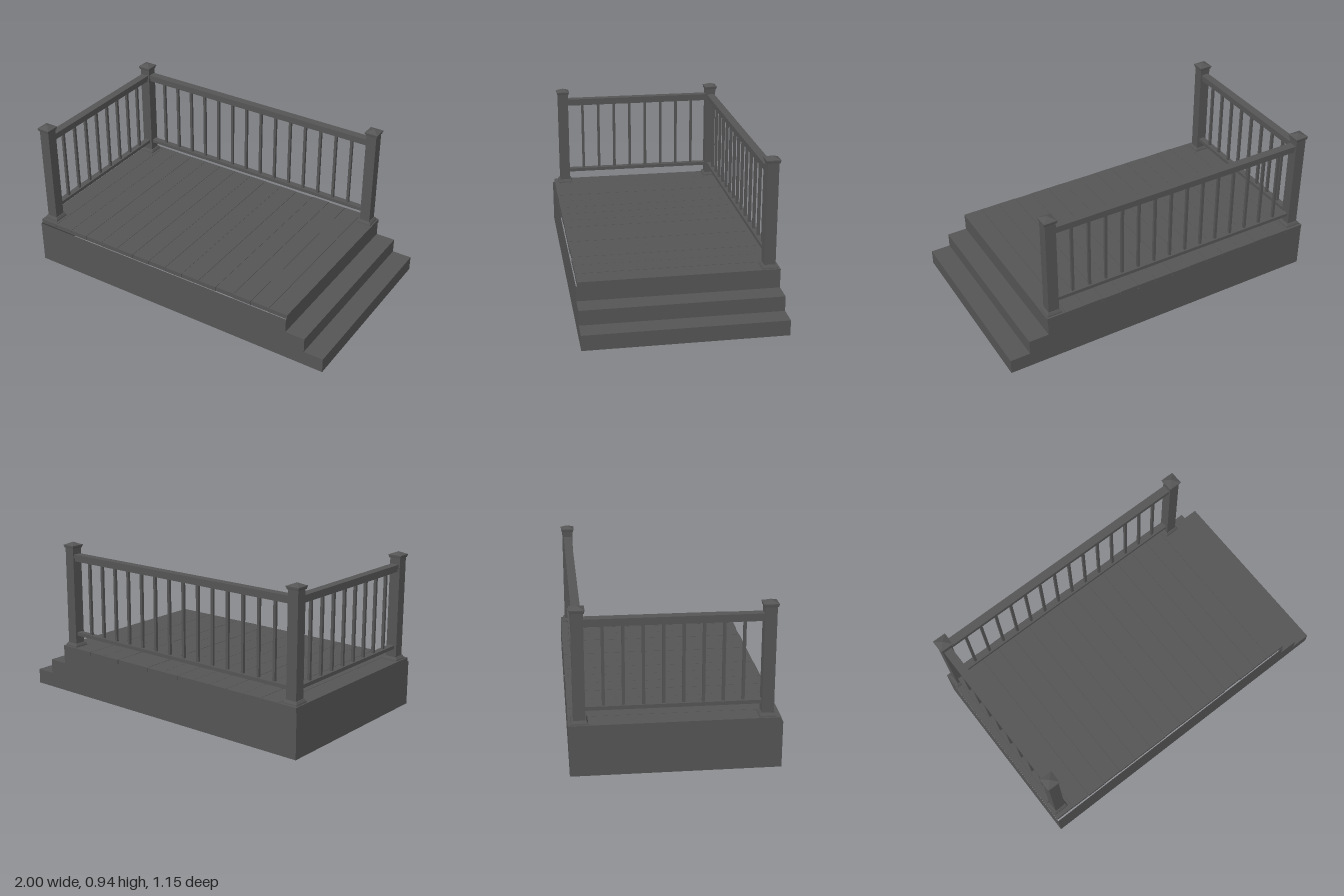
import * as THREE from 'three';

export function createModel() {
  const deck = new THREE.Group();
  deck.name = 'deck';
  const grey = new THREE.MeshStandardMaterial({ color: 0x555555, side: THREE.DoubleSide });
  grey.name = 'dark grey';

  const add = (parent, name, geometry, x = 0, y = 0, z = 0) => {
    const mesh = new THREE.Mesh(geometry, grey);
    mesh.name = name;
    mesh.position.set(x, y, z);
    parent.add(mesh);
    return mesh;
  };
  // Box given by its limits on each axis
  const slab = (parent, name, [x0, x1], [y0, y1], [z0, z1]) =>
    add(parent, name, new THREE.BoxGeometry(x1 - x0, y1 - y0, z1 - z0),
      (x0 + x1) / 2, (y0 + y1) / 2, (z0 + z1) / 2);
  // Square frustum between two heights
  const frustum = (parent, name, w0, w1, y0, y1) => {
    const g = new THREE.CylinderGeometry(w1 / Math.SQRT2, w0 / Math.SQRT2, y1 - y0, 4, 1).toNonIndexed();
    g.rotateY(Math.PI / 4);
    g.computeVertexNormals();
    return add(parent, name, g, 0, (y0 + y1) / 2, 0);
  };

  // Hollow skirt and steps, open underneath
  const zs = 0.572;
  const profile = [[-1, 0], [1, 0], [1, 0.09], [0.88, 0.09], [0.88, 0.178],
    [0.76, 0.178], [0.76, 0.266], [-1, 0.266]];
  const side = new THREE.Shape(profile.map(p => new THREE.Vector2(...p)));
  add(deck, 'frontSkirt', new THREE.ShapeGeometry(side), 0, 0, zs);
  add(deck, 'backSkirt', new THREE.ShapeGeometry(side).rotateY(Math.PI).scale(-1, 1, 1), 0, 0, -zs);
  const panel = (name, [x0, y0], [x1, y1]) => {
    const dx = x1 - x0, dy = y1 - y0;
    const g = new THREE.PlaneGeometry(Math.hypot(dx, dy), 2 * zs).rotateX(-Math.PI / 2);
    g.rotateZ(Math.atan2(dy, dx));
    add(deck, name, g, (x0 + x1) / 2, (y0 + y1) / 2, 0);
  };
  panel('leftEndSkirt', [-1, 0], [-1, 0.266]);
  for (let i = 5; i > 0; i--) {
    panel(i % 2 ? 'stepRiser' : 'stepTread', profile[i + 1], profile[i]);
  }

  // Deck boards, cut to slightly uneven lengths
  let seed = 7;
  const rand = () => (seed = (seed * 16807) % 2147483647) / 2147483647 - 0.5;
  const boards = new THREE.Group();
  boards.name = 'deckBoards';
  deck.add(boards);
  const pitch = 1.765 / 15;
  for (let i = 0; i < 15; i++) {
    const x = -1 + i * pitch, dz = rand() * 0.004;
    slab(boards, 'deckBoard', [x + 0.001, x + pitch - 0.001],
      [0.265, 0.293 - Math.abs(rand()) * 0.002], [-0.573 + dz, 0.564 + dz]);
  }

  // Posts with flared feet and pyramid caps
  const xl = -0.945, xr = 0.709, zb = -0.514, zf = 0.491;
  for (const [x, z] of [[xl, zf], [xl, zb], [xr, zb]]) {
    const post = new THREE.Group();
    post.name = 'post';
    post.position.set(x, 0, z);
    deck.add(post);
    frustum(post, 'postShaft', 0.065, 0.065, 0.292, 0.91);
    frustum(post, 'postFoot', 0.093, 0.09, 0.292, 0.3);
    frustum(post, 'postFootBevel', 0.09, 0.074, 0.3, 0.313);
    frustum(post, 'capCollar', 0.074, 0.078, 0.906, 0.918);
    frustum(post, 'capRim', 0.082, 0.082, 0.918, 0.924);
    frustum(post, 'capPyramid', 0.076, 0.002, 0.924, 0.941);
  }

  // Railing built along local x from the origin
  const railing = (name, length, count, first) => {
    const rail = new THREE.Group();
    rail.name = name;
    const span = [0.03, length - 0.03];
    slab(rail, 'handrail', span, [0.846, 0.87], [-0.025, 0.025]);
    slab(rail, 'underRail', span, [0.827, 0.846], [-0.019, 0.019]);
    slab(rail, 'bottomRail', span, [0.362, 0.383], [-0.019, 0.019]);
    for (let i = 0; i < count; i++) {
      const x = first + i * 0.1063;
      slab(rail, 'baluster', [x - 0.008, x + 0.008], [0.38, 0.83], [-0.008, 0.008]);
    }
    deck.add(rail);
    return rail;
  };
  railing('backRailing', xr - xl, 14, 0.134).position.set(xl, 0, zb);
  const left = railing('leftRailing', zf - zb, 8, 0.13);
  left.position.set(xl, 0, zb);
  left.rotation.y = -Math.PI / 2;

  return deck;
}
